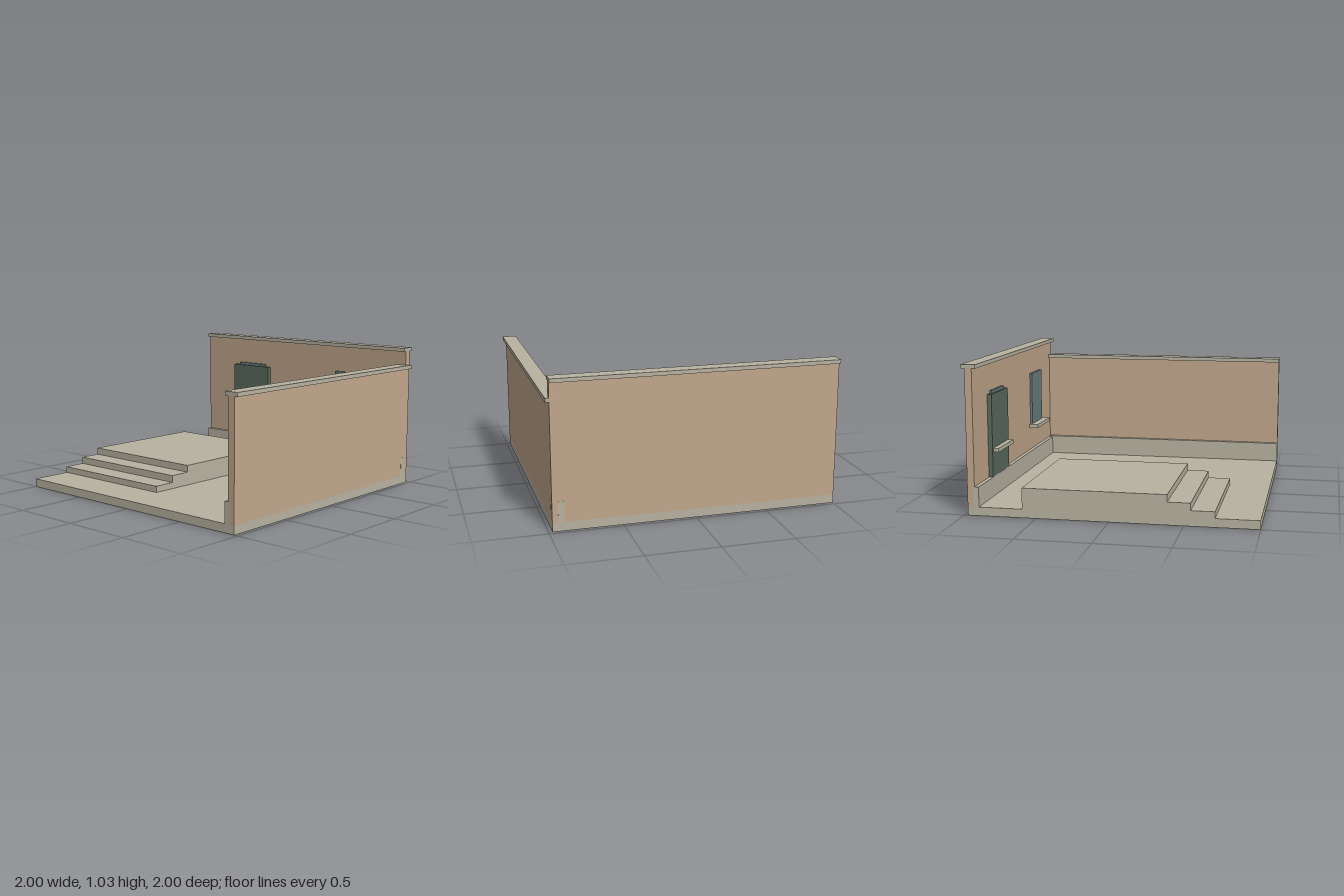
import * as THREE from 'three';

const STONE = new THREE.MeshStandardMaterial({ color: 0xb8b2a1 });
const PLASTER = new THREE.MeshStandardMaterial({ color: 0xc2a78c });
const DOOR = new THREE.MeshStandardMaterial({ color: 0x5a6a5e });
const GLASS = new THREE.MeshStandardMaterial({ color: 0x697d7e });

// Box given by its extents along each axis
function block(name, material, [x0, x1], [y0, y1], [z0, z1]) {
  const mesh = new THREE.Mesh(new THREE.BoxGeometry(x1 - x0, y1 - y0, z1 - z0), material);
  mesh.name = name;
  mesh.position.set((x0 + x1) / 2, (y0 + y1) / 2, (z0 + z1) / 2);
  return mesh;
}

// Glass pane with a projecting sill below it
function makeWindow(name, x) {
  const group = new THREE.Group();
  group.name = name;
  group.add(
    block('pane', GLASS, [x - 0.137, x + 0.137], [0.4, 0.805], [-0.94, -0.908]),
    block('sill', STONE, [x - 0.17, x + 0.17], [0.375, 0.403], [-0.93, -0.855])
  );
  return group;
}

// Stepped platform: one side profile (z, y) extruded across x
function makeSteps() {
  const profile = new THREE.Shape();
  profile.moveTo(-0.595, 0.05);
  const treads = [[0.39, 0.205], [0.545, 0.155], [0.705, 0.105]];
  let z = -0.595;
  for (const [end, y] of treads) {
    profile.lineTo(z, y);
    profile.lineTo(end, y);
    z = end;
  }
  profile.lineTo(z, 0.05);
  const geometry = new THREE.ExtrudeGeometry(profile, { depth: 0.985, bevelEnabled: false });
  geometry.rotateY(-Math.PI / 2); // profile x becomes z, depth runs toward -x
  const mesh = new THREE.Mesh(geometry, STONE);
  mesh.name = 'steps';
  mesh.position.x = -0.015;
  return mesh;
}

export function createModel() {
  const model = new THREE.Group();
  model.name = 'courtyard';

  // Ground
  model.add(block('floor', STONE, [-1, 0.975], [0, 0.06], [-0.975, 1]), makeSteps());

  // Back wall
  model.add(
    block('backWall', PLASTER, [-1, 0.975], [0.06, 1], [-0.975, -0.925]),
    block('backCoping', STONE, [-1, 0.975], [1, 1.027], [-1, -0.9]),
    block('backPlinth', STONE, [-1, 0.976], [0.06, 0.198], [-0.935, -0.896])
  );

  // Side wall
  model.add(
    block('sideWall', PLASTER, [0.925, 0.975], [0.06, 0.87], [-0.975, 1]),
    block('sideCoping', STONE, [0.897, 1], [0.87, 0.898], [-0.975, 1]),
    block('sidePlinth', STONE, [0.893, 0.935], [0.06, 0.205], [-0.976, 1.001])
  );

  // Openings
  model.add(
    block('door', DOOR, [-0.695, -0.325], [0.2, 0.785], [-0.94, -0.894]),
    makeWindow('doorWindow', -0.508),
    makeWindow('sideWindow', 0.479)
  );
  return model;
}
